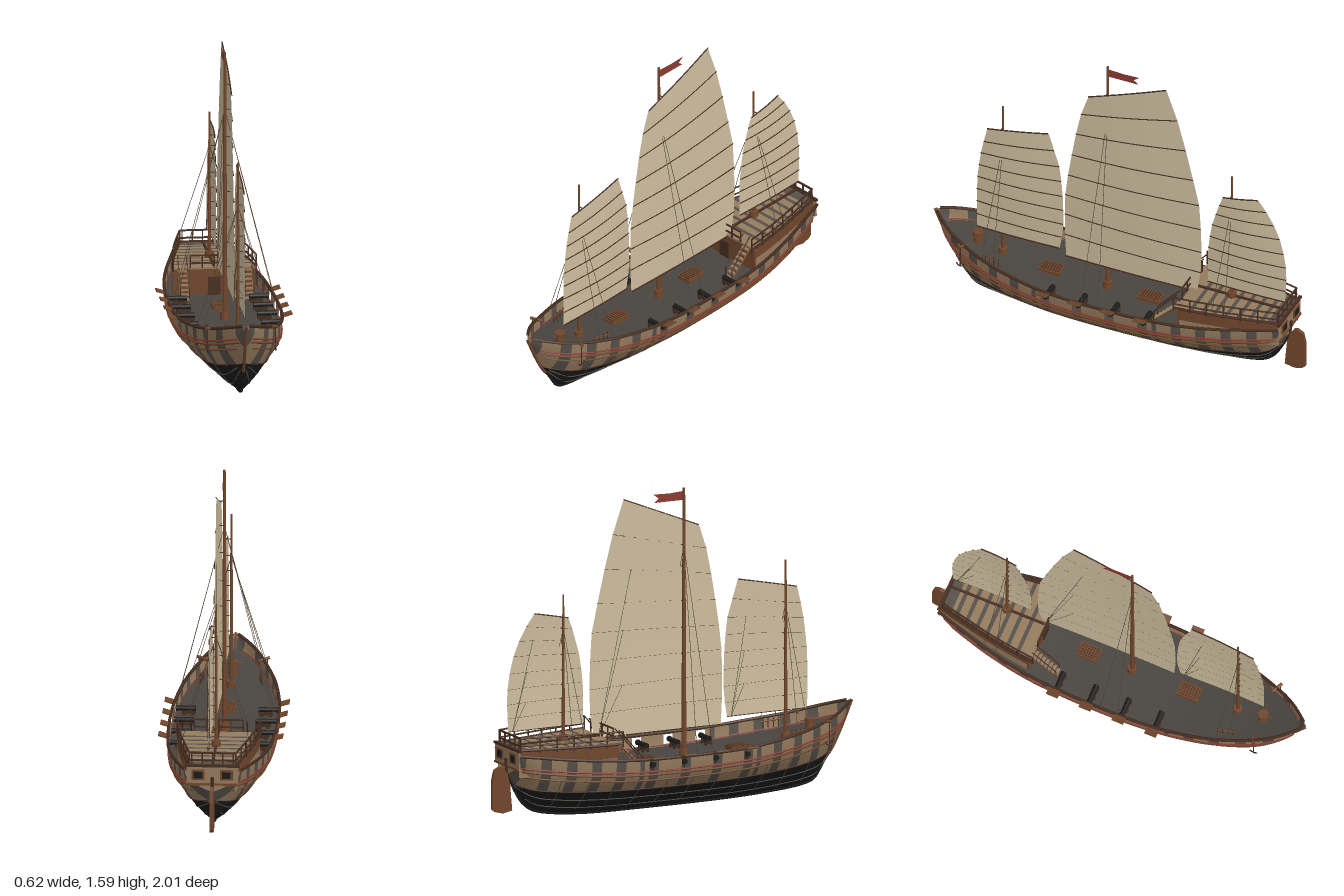
import * as THREE from 'three';

const mat = (name, color, double) => Object.assign(new THREE.MeshStandardMaterial({ color }), { name, side: double ? THREE.DoubleSide : THREE.FrontSide });
const V = (x, y, z) => new THREE.Vector3(x, y, z);

// Smooth interpolation through a short table of [x, value]
const table = (p) => (x) => {
  let i = 0;
  while (i < p.length - 2 && x > p[i + 1][0]) i++;
  const slope = (k) => {
    const a = p[Math.max(k - 1, 0)], b = p[Math.min(k + 1, p.length - 1)];
    return (b[1] - a[1]) / (b[0] - a[0]);
  };
  const h = p[i + 1][0] - p[i][0], t = Math.min(1, Math.max(0, (x - p[i][0]) / h)), t2 = t * t, t3 = t2 * t;
  return (2 * t3 - 3 * t2 + 1) * p[i][1] + (t3 - 2 * t2 + t) * h * slope(i) + (3 * t2 - 2 * t3) * p[i + 1][1] + (t3 - t2) * h * slope(i + 1);
};

// Hull lines: half breadth, sheer, keel and waterline along z, and the section shape
const beam = table([[-.91, .135], [-.8, .165], [-.6, .215], [-.4, .248], [-.2, .262], [0, .267], [.2, .264], [.4, .247], [.6, .21], [.8, .14], [.9, .085], [1, 0]]);
const sheer = table([[-.91, .36], [-.6, .325], [-.3, .305], [0, .302], [.3, .307], [.5, .325], [.7, .352], [.85, .386], [1, .432]]);
const keel = table([[-.91, .25], [-.865, .155], [-.81, .078], [-.72, .04], [-.5, .014], [-.2, .008], [.3, .008], [.55, .018], [.73, .036], [.8, .065], [.835, .125], [.89, .2], [.94, .295], [1, .432]]);
const water = table([[-.91, .2], [-.8, .17], [-.5, .147], [0, .14], [.4, .146], [.7, .166], [.85, .2], [.93, .232], [1, .26]]);
const section = table([[0, 0], [.1, .22], [.26, .48], [.53, .81], [.72, .96], [1, 1]]);
const width = (z, y) => {
  const k = keel(z), d = sheer(z) - k;
  return d < .002 ? 0 : Math.max(0, beam(z) * section(Math.min(1, Math.max(0, (y - k) / d))));
};
const deckY = (z) => sheer(z) - .066;
const PORTS = [.295, .12, -.055, -.23];

// Surface over a grid of points; pick gives the material index of a cell, or -1 for a hole
function grid(nu, nv, point, mats, pick = () => 0, flip = false) {
  const pos = [], lists = mats.map(() => []);
  for (let i = 0; i <= nu; i++) for (let j = 0; j <= nv; j++) pos.push(...point(i, j));
  for (let i = 0; i < nu; i++) for (let j = 0; j < nv; j++) {
    const a = i * (nv + 1) + j, b = a + nv + 1, m = pick(i, j);
    if (m >= 0) lists[m].push(...(flip ? [a, b, b + 1, a, b + 1, a + 1] : [a, b + 1, b, a, a + 1, b + 1]));
  }
  const g = new THREE.BufferGeometry();
  g.setAttribute('position', new THREE.Float32BufferAttribute(pos, 3));
  g.setIndex(lists.flat());
  let start = 0;
  lists.forEach((l, m) => { g.addGroup(start, l.length, m); start += l.length; });
  g.computeVertexNormals();
  return new THREE.Mesh(g, mats);
}

export function createModel() {
  const tan = mat('planking', 0x957b5e, true), grey = mat('weatheredWood', 0x565049, true), black = mat('tarAndIron', 0x1b1b1b, true),
    brown = mat('brownWood', 0x70462b), dark = mat('darkWood', 0x462d1f), red = mat('redPaint', 0x8c3a32, true),
    cloth = mat('sailCloth', 0xcdbd9e, true), deckM = mat('deckWood', 0x48443f, true), rope = mat('rope', 0x544332);
  const ship = new THREE.Group();
  ship.name = 'sailingShip';
  const add = (name, mesh, parent = ship) => { mesh.name = name; parent.add(mesh); return mesh; };
  const box = (name, m, w, h, d, x, y, z, parent) => {
    const b = add(name, new THREE.Mesh(new THREE.BoxGeometry(w, h, d), m), parent);
    b.position.set(x, y, z);
    return b;
  };
  const rod = (name, m, a, b, r, r2 = r, parent = ship, sides = 8) => {
    const c = add(name, new THREE.Mesh(new THREE.CylinderGeometry(r2, r, a.distanceTo(b), sides), m), parent);
    c.position.copy(a).lerp(b, .5);
    c.quaternion.setFromUnitVectors(V(0, 1, 0), b.clone().sub(a).normalize());
    return c;
  };
  const tube = (name, m, pts, r, sides = 6, parent = ship) =>
    add(name, new THREE.Mesh(new THREE.TubeGeometry(new THREE.CatmullRomCurve3(pts), pts.length * 2, r, sides), m), parent);

  // Hull skin: black bottom, framed planking above with open gun ports
  const zs = [-.91];
  for (let k = -41; k <= 34; k++) zs.push(.12 + .025 * k);
  zs.push(.983, 1);
  const n = zs.length - 1, fr = [0, .25, .45, .66, .95, 1];
  for (const s of [1, -1]) {
    const top = (z) => Math.max(keel(z), Math.min(water(z), sheer(z)));
    add('hullBottom', grid(n, 8, (i, j) => {
      const z = zs[i], y = keel(z) + (top(z) - keel(z)) * (j / 8) ** 1.4;
      return [s * width(z, y), y, z];
    }, [black], undefined, s < 0));
    add('hullPlanking', grid(n, 5, (i, j) => {
      const z = zs[i], y = top(z) + (sheer(z) - top(z)) * fr[j];
      return [s * width(z, y), y, z];
    }, [tan, grey], (i, j) => {
      const mid = (zs[i] + zs[i + 1]) / 2, port = PORTS.some((p) => Math.abs(mid - p) < .025);
      if (j === 3 && port) return -1;
      return port || ((mid > .34 || mid < -.28) && i % 5 < 2) ? 1 : 0;
    }, s < 0));

    // Rails, wales and seams that follow the hull
    const strake = (name, m, yOf, r, out = .002) => {
      const pts = zs.filter((z, i) => (i % 2 === 0 || i > n - 4) && z < .995 && yOf(z) > keel(z) + .004)
        .map((z) => V(s * (width(z, yOf(z)) + out), yOf(z), z));
      tube(name, m, pts, r);
    };
    strake('capRail', dark, (z) => sheer(z) + .002, .008, 0);
    strake('redStripe', red, (z) => sheer(z) - .061, .0045);
    strake('upperWale', brown, (z) => sheer(z) - .078, .006);
    strake('lowerWale', brown, (z) => sheer(z) - .108, .0045);
    strake('waterlineWale', dark, (z) => water(z) + .004, .003);
    for (const f of [.3, .65]) strake('bottomSeam', grey, (z) => keel(z) + (water(z) - keel(z)) * f, .003, .001);
    // frame seams running down the sides
    for (let z = -.7; z < .8; z += .14) tube('frameSeam', grey, Array.from({ length: 9 }, (_, k) => {
      const y = keel(z) + (sheer(z) - .11 - keel(z)) * (.12 + .88 * k / 8);
      return V(s * width(z, y), y, z);
    }), .002, 5);
  }
  tube('keel', black, zs.filter((z, i) => z < .88 && (i % 2 === 0 || z > .75)).map((z) => V(0, keel(z), z)), .008);
  tube('stemPost', brown, zs.filter((z) => z > .85).map((z) => V(0, keel(z), z + .002)), .008);

  // Main deck and transom
  add('mainDeck', grid(n, 2, (i, j) => [(j - 1) * width(zs[i], deckY(zs[i])), Math.max(deckY(zs[i]), keel(zs[i])), zs[i]], [deckM], undefined, true));
  add('transom', grid(2, 6, (i, j) => {
    const y = .25 + (.36 - .25) * j / 6;
    return [(i - 1) * width(-.91, y), y, -.91];
  }, [tan]));
  box('sternBeam', dark, .27, .012, .016, 0, .386, -.908);
  box('sternSill', brown, .25, .01, .014, 0, .292, -.912);
  for (const x of [-.07, .07]) {
    box('windowFrame', brown, .062, .052, .008, x, .34, -.914);
    box('windowPane', black, .042, .034, .008, x, .34, -.916);
  }

  // Raised poop with striped deck, tiller and railing
  const half = (z) => beam(z) * .82;
  const pz = Array.from({ length: 27 }, (_, i) => -.905 + i * .0196);
  for (const s of [1, -1]) add('poopSide', grid(26, 2, (i, j) => [s * half(pz[i]), .25 + j * .068, pz[i]], [tan, brown], (i, j) => j, s < 0));
  add('poopDeck', grid(26, 1, (i, j) => [(j * 2 - 1) * half(pz[i]), .386, pz[i]], [tan, grey], (i) => ((i % 3 === 1 && i < 23) || i < 3 ? 1 : 0), true));
  box('poopFront', brown, half(-.395) * 2, .136, .01, 0, .317, -.4);
  box('poopBeam', tan, half(-.395) * 2 + .01, .01, .014, 0, .382, -.394);
  box('poopBack', tan, .255, .094, .008, 0, .337, -.908);
  box('cabinDoor', dark, .06, .09, .008, 0, .29, -.393);
  box('tiller', dark, .012, .008, .5, 0, .392, -.65);
  const railZ = [-.375, -.46, -.545, -.63, -.715, -.8, -.895];
  for (const s of [1, -1]) {
    for (const z of railZ) rod('railPost', dark, V(s * half(z), .37, z), V(s * half(z), .45, z), .004);
    for (const y of [.41, .448]) tube('poopRail', dark, railZ.map((z) => V(s * half(z), y, z)), .0045);
    tube('poopEdge', dark, railZ.map((z) => V(s * half(z), .386, z)), .007);
  }
  for (const y of [.41, .448]) {
    box('sternRail', dark, half(-.895) * 2, .008, .008, 0, y, -.897);
    box('frontRail', dark, .24, .007, .007, 0, y, -.385);
  }
  for (const x of [-.12, -.06, 0, .06, .12]) {
    box('frontRailPost', dark, .006, .064, .006, x, .417, -.385);
    box('sternRailPost', dark, .006, .064, .006, x * .85, .417, -.897);
  }

  // Stairs on both sides
  for (const s of [1, -1]) {
    for (let i = 0; i < 7; i++) box('stairStep', tan, .045, .008, .016, s * .16, .258 + i * .019, -.262 - i * .019);
    for (const x of [.138, .182]) {
      rod('stairStringer', brown, V(s * x, .245, -.25), V(s * x, .38, -.388), .004);
      rod('stairRail', dark, V(s * x, .31, -.26), V(s * x, .45, -.385), .003);
      rod('stairPost', dark, V(s * x, .24, -.26), V(s * x, .31, -.26), .003);
    }
  }

  // Guns with carriages and raised port lids
  for (const z of PORTS) for (const s of [1, -1]) {
    const gun = add('gun', new THREE.Group());
    rod('barrel', black, V(s * .155, .273, z), V(s * .25, .274, z), .014, .011, gun, 12);
    rod('muzzleRing', black, V(s * .242, .274, z), V(s * .252, .274, z), .0145, .0145, gun, 12);
    box('carriage', dark, .07, .016, .026, s * .19, .256, z, gun);
    for (const dx of [.17, .212]) for (const dz of [-.014, .014])
      rod('wheel', dark, V(s * dx, .248, z + dz - .003), V(s * dx, .248, z + dz + .003), .009, .009, gun, 10);
    box('portLid', brown, .044, .007, .062, s * .286, .312, z, gun).rotation.z = s * .3;
  }

  // Hatches, capstan, pin rails
  for (const z of [-.16, .375]) {
    box('hatchCoaming', brown, .074, .022, .112, 0, deckY(z) + .008, z);
    for (let i = -2; i <= 2; i++) box('hatchBar', dark, .006, .006, .1, i * .013, deckY(z) + .021, z);
    for (let i = -3; i <= 3; i++) box('hatchBar', brown, .066, .007, .006, 0, deckY(z) + .021, z + i * .014);
  }
  rod('capstan', brown, V(0, .28, .77), V(0, .345, .77), .026, .02, ship, 12);
  rod('capstanHead', brown, V(0, .345, .77), V(0, .36, .77), .026, .026, ship, 12);
  for (const [dx, dz] of [[.05, 0], [0, .05]]) rod('capstanBar', brown, V(-dx, .352, .77 - dz), V(dx, .352, .77 + dz), .003);

  // Catheads with small anchors hanging close to the bow
  for (const s of [1, -1]) {
    rod('pinRail', brown, V(s * .155, .33, .58), V(s * .135, .34, .68), .004);
    for (let i = 0; i < 4; i++) rod('belayingPin', dark, V(s * (.153 - i * .005), .3, .59 + i * .026), V(s * (.153 - i * .005), .348, .59 + i * .026), .0025);
    rod('cathead', brown, V(s * .125, .365, .765), V(s * .178, .375, .795), .008);
    const anchor = add('anchor', new THREE.Group());
    rod('shank', dark, V(0, .255, 0), V(0, .37, 0), .003, .003, anchor);
    const arms = add('arms', new THREE.Mesh(new THREE.TorusGeometry(.02, .0035, 6, 12, Math.PI), dark), anchor);
    arms.rotation.set(Math.PI, Math.PI / 2, 0, 'YXZ');
    arms.position.y = .275;
    anchor.position.set(s * .168, 0, .79);
  }

  // Rudder
  const rs = new THREE.Shape([[-.888, .065], [-.9, .2], [-.915, .255], [-.935, .285], [-.955, .292], [-.985, .275], [-.998, .22], [-.998, .08], [-.98, .065], [-.94, .055]].map(([z, y]) => new THREE.Vector2(-z, y)));
  const rudder = add('rudder', new THREE.Mesh(new THREE.ExtrudeGeometry(rs, { depth: .018, bevelEnabled: false }), brown));
  rudder.rotation.y = Math.PI / 2;
  rudder.position.x = -.009;
  rod('rudderStock', dark, V(0, .08, -.895), V(0, .33, -.92), .008);

  // Masts, battened sails (rows: luff z, y, leech z, y) and rigging
  const rigs = [
    { name: 'main', z: .07, base: .23, top: 1.59, r: .013, stay: 1.3, feet: [.1, .01], foot: .3,
      rows: [[.285, .375, -.42, .375], [.292, .505, -.44, .495], [.292, .63, -.445, .62], [.29, .75, -.441, .76], [.275, .875, -.432, .905], [.255, 1.005, -.4, 1.05], [.232, 1.14, -.36, 1.22], [.205, 1.27, -.315, 1.39], [.165, 1.39, -.255, 1.56]] },
    { name: 'fore', z: .635, base: .26, top: 1.17, r: .01, stay: .95, feet: [.67, .6], foot: .345,
      rows: [[.765, .41, .32, .41], [.766, .485, .308, .48], [.766, .565, .3, .562], [.766, .64, .301, .648], [.763, .716, .304, .733], [.755, .79, .311, .823], [.745, .866, .322, .91], [.73, .94, .35, 1.0], [.71, 1.025, .38, 1.095]] },
    { name: 'mizzen', z: -.6, base: .37, top: 1.12, r: .009, stay: .95, feet: [-.57, -.64], foot: .34,
      rows: [[-.48, .455, -.895, .455], [-.479, .525, -.899, .52], [-.479, .595, -.902, .59], [-.482, .665, -.9, .665], [-.49, .735, -.888, .745], [-.502, .81, -.867, .83], [-.522, .88, -.835, .905], [-.54, .94, -.795, .975], [-.56, .995, -.75, 1.035]] }];
  for (const R of rigs) {
    const rig = add(R.name + 'Rig', new THREE.Group());
    rod('mast', brown, V(0, R.base, R.z), V(0, R.top, R.z), R.r, R.r * .5, rig, 10);
    rod('mastCollar', brown, V(0, R.base, R.z), V(0, R.base + .045, R.z), .026, .022, rig, 10);
    const at = (i, j) => {
      const [za, ya, zb, yb] = R.rows[j], u = i / 8;
      return [.02 + .014 * Math.sin(Math.PI * u) * Math.sin(Math.PI * (j + 1) / 10), ya + (yb - ya) * u, za + (zb - za) * u];
    };
    add('sail', grid(8, 8, at, [cloth]), rig);
    // battens lie on the left face of the cloth only
    R.rows.forEach((row, j) => {
      const r = j % 8 ? .0027 : .0035, pts = Array.from({ length: 9 }, (_, i) => V(...at(i, j)).add(V(r * .8, 0, 0)));
      tube(j === 0 ? 'boom' : j === 8 ? 'yard' : 'batten', dark, pts, r, 5, rig);
      const y = row[1] + (row[3] - row[1]) * (row[0] - R.z) / (row[0] - row[2]);
      rod('parrel', dark, V(0, y, R.z), V(.024, y, R.z), .0025, .0025, rig);
    });
    for (const s of [1, -1]) for (const z of R.feet) rod('shroud', rope, V(s * (beam(z) - .012), R.foot, z), V(0, R.stay, R.z), .0014, .0014, rig, 5);
    // sheets fan out over the right face from the foot of the leech
    const foot = V(.014, R.rows[0][3], R.rows[0][2] + .02);
    for (const j of [2, 4, 6]) rod('sheet', rope, foot, V(...at(6, j)).add(V(-.004, 0, 0)), .0012, .0012, rig, 4);
  }

  // Swallow-tailed flag
  const fs = new THREE.Shape([[-.07, 1.53], [.095, 1.53], [.07, 1.55], [.1, 1.573], [.01, 1.57], [-.07, 1.575]].map(([x, y]) => new THREE.Vector2(x, y)));
  add('flag', new THREE.Mesh(new THREE.ShapeGeometry(fs), red)).rotation.y = Math.PI / 2;
  return ship;
}
